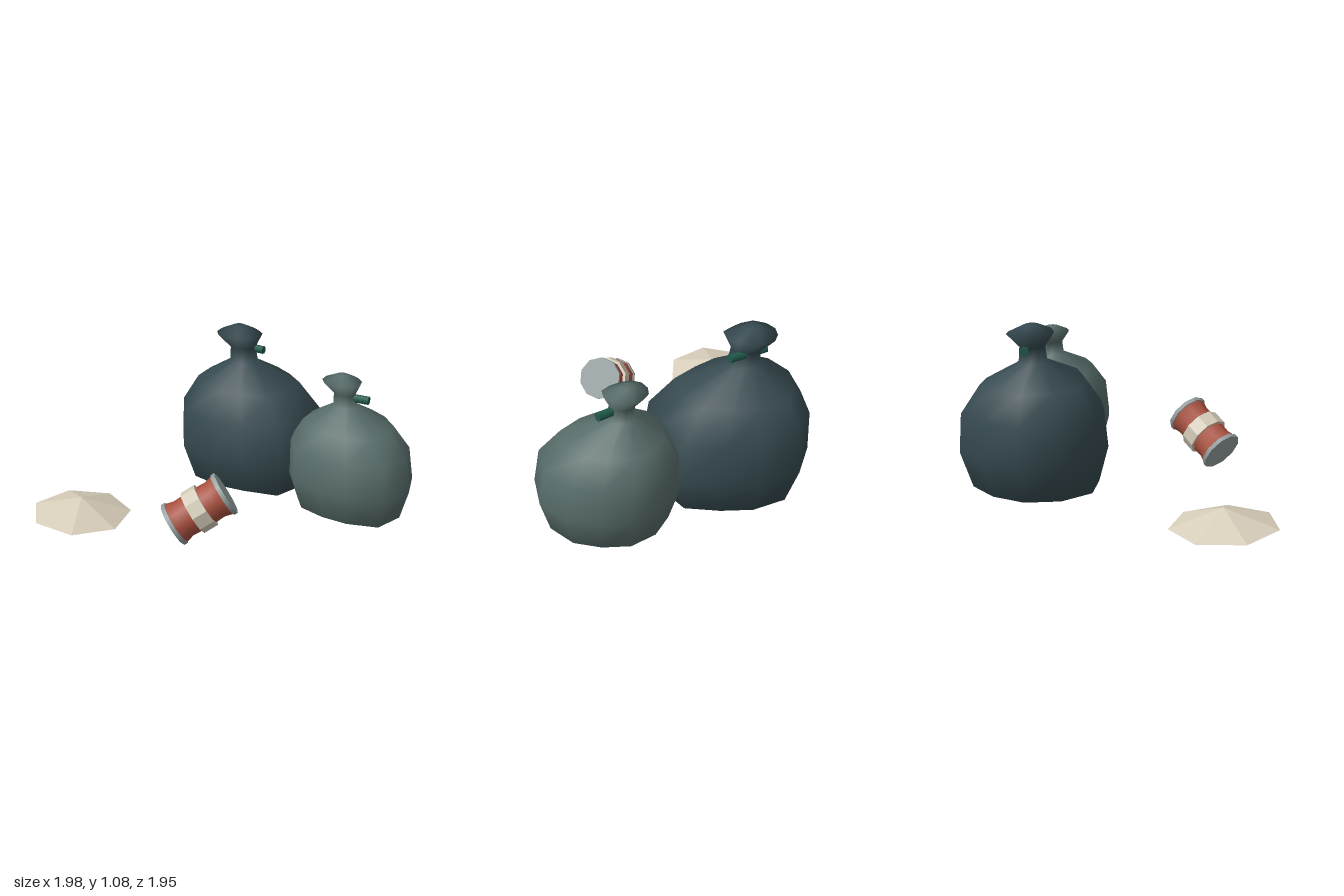
import * as THREE from 'three';

const mat = (color, extra = {}) => new THREE.MeshStandardMaterial({ color, ...extra });

function part(name, geometry, material) {
  const m = new THREE.Mesh(geometry, material);
  m.name = name;
  return m;
}

// Bag cross-sections: height, sideways lean, size relative to the belly
const RINGS = [
  [0.015, 0.01, 0.6], [0.065, 0.01, 0.86], [0.3, 0, 1], [0.55, -0.02, 0.95], [0.72, -0.045, 0.7],
  [0.85, -0.085, 0.19], [0.945, -0.095, 0.17], [1.035, -0.125, 0.31], [1.083, -0.13, 0.09],
];

// Lumpy sack: rings of uneven radius joined in loops, closed at both ends
function bagGeometry(radii) {
  const n = radii.length, pos = [], idx = [];
  for (const [y, dx, s] of RINGS) {
    radii.forEach((r, i) => {
      const a = (i / n) * Math.PI * 2;
      pos.push(dx + Math.cos(a) * r * s, y, Math.sin(a) * r * s);
    });
  }
  const last = RINGS.length - 1, bottom = pos.length / 3, top = bottom + 1;
  pos.push(RINGS[0][1], RINGS[0][0], 0, RINGS[last][1], RINGS[last][0] + 0.004, 0);
  for (let i = 0; i < n; i++) {
    const k = (i + 1) % n;
    for (let j = 0; j < last; j++) {
      const a = j * n + i, b = j * n + k;
      idx.push(a, a + n, b, b, a + n, b + n);
    }
    idx.push(bottom, i, k, top, last * n + k, last * n + i);
  }
  const g = new THREE.BufferGeometry();
  g.setAttribute('position', new THREE.Float32BufferAttribute(pos, 3));
  g.setIndex(idx);
  g.computeVertexNormals();
  return g;
}

function tie(length, x, y, z, turn) {
  const m = part('tie', new THREE.CylinderGeometry(0.027, 0.027, length, 7), mat(0x1f5a4b));
  m.rotation.set(0, turn, Math.PI / 2);
  m.position.set(x, y, z);
  return m;
}

export function createModel() {
  const model = new THREE.Group();
  model.name = 'rubbishPile';

  // Large bag
  const large = part('largeBag', bagGeometry(
    [0.5, 0.53, 0.43, 0.436, 0.5, 0.5, 0.495, 0.485, 0.505, 0.45, 0.43, 0.5]), mat(0x35494f));
  large.position.set(-0.22, 0, -0.5);

  // Small bag
  const small = part('smallBag', bagGeometry(
    [0.52, 0.55, 0.465, 0.443, 0.49, 0.5, 0.48, 0.47, 0.455, 0.446, 0.43, 0.47]), mat(0x566b69));
  small.scale.setScalar(0.84);
  small.position.set(0.56, 0, -0.57);

  // Ties poking out of the bag necks
  model.add(large, small, tie(0.25, -0.305, 0.93, -0.54, 0.12), tie(0.2, 0.545, 0.77, -0.575, 0.25));

  // Tilted can: pinched body, central label band, metal rims with lids
  const can = new THREE.Group();
  can.name = 'can';
  const profile = [[0.134, -0.17], [0.118, -0.11], [0.122, -0.04], [0.122, 0.04], [0.118, 0.11], [0.134, 0.17]];
  can.add(part('canBody', new THREE.LatheGeometry(profile.map(p => new THREE.Vector2(...p)), 10), mat(0xa9513f)));
  can.add(part('label', new THREE.CylinderGeometry(0.14, 0.14, 0.095, 10), mat(0xd3cbb8, { flatShading: true })));
  for (const s of [-1, 1]) {
    const rim = part(s > 0 ? 'upperLid' : 'lowerLid', new THREE.CylinderGeometry(0.139, 0.139, 0.026, 10), mat(0x949f9f));
    rim.position.y = s * 0.175;
    can.add(rim);
  }
  can.position.set(0.193, 0.288, 0.497);
  can.quaternion.setFromUnitVectors(new THREE.Vector3(0, 1, 0), new THREE.Vector3(0.205, 0.19, -0.25).normalize());
  model.add(can);

  // Shallow seven-sided cone, open below and slightly tipped
  const coneGeo = new THREE.ConeGeometry(0.323, 0.105, 7, 1, true);
  coneGeo.rotateY(Math.PI / 2);
  coneGeo.translate(0, 0.0525, 0);
  const cone = part('paperCone', coneGeo, mat(0xd8cebb, { flatShading: true, side: THREE.DoubleSide }));
  cone.position.set(-0.688, 0.026, 0.685);
  cone.rotation.set(-0.06, 0, -0.03);
  model.add(cone);

  return model;
}
